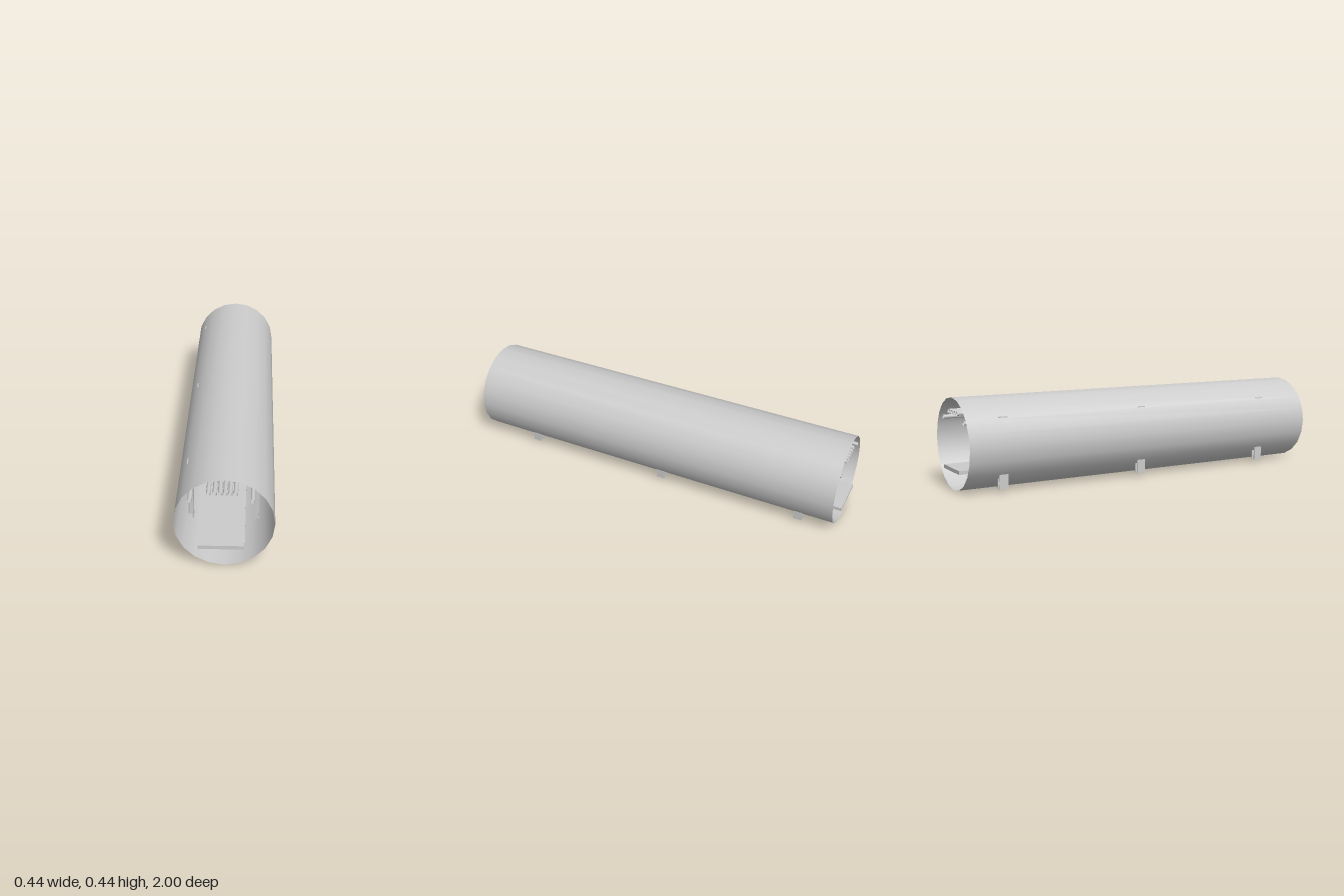
import * as THREE from 'three';

const material = new THREE.MeshStandardMaterial({ color: 0xcccccc, side: THREE.DoubleSide });

function addMesh(parent, name, geometry, x = 0, y = 0, z = 0) {
  const mesh = new THREE.Mesh(geometry, material);
  mesh.name = name;
  mesh.position.set(x, y, z);
  parent.add(mesh);
  return mesh;
}

// Open-ended pipe running along z
function pipeGeometry(radius, length, sides) {
  return new THREE.CylinderGeometry(radius, radius, length, sides, 1, true).rotateX(Math.PI / 2);
}

// Portal outline between an outer and an inner path, extruded and centred in z
function portalGeometry(outer, inner, depth) {
  const points = [...outer, ...[...inner].reverse()].map(([x, y]) => new THREE.Vector2(x, y));
  return new THREE.ExtrudeGeometry(new THREE.Shape(points), { depth, bevelEnabled: false })
    .translate(0, 0, -depth / 2);
}

// Portal path from left foot to right foot: half width, top height, corner chamfer
function portalPath(half, top, chamfer) {
  const foot = 0.018;
  const side = [[half, foot], [half, top - chamfer]];
  if (chamfer > 0) side.push([half - chamfer, top]);
  const mirrored = side.map(([x, y]) => [-x, y]);
  return [...mirrored, ...side.reverse()];
}

// Steel portal frame with an I-shaped section and haunched corners
function createFrame() {
  const frame = new THREE.Group();
  frame.name = 'supportFrame';
  const outer = portalPath(0.165, 0.361, 0);
  const outerInset = portalPath(0.160, 0.356, 0);
  const innerInset = portalPath(0.145, 0.345, 0.043);
  const inner = portalPath(0.140, 0.341, 0.041);
  addMesh(frame, 'outerFlange', portalGeometry(outer, outerInset, 0.045));
  addMesh(frame, 'web', portalGeometry(outerInset, innerInset, 0.008));
  addMesh(frame, 'innerFlange', portalGeometry(innerInset, inner, 0.045));
  return frame;
}

export function createModel() {
  const model = new THREE.Group();
  model.name = 'tunnelSection';

  // Tunnel lining
  addMesh(model, 'tunnelLining', pipeGeometry(0.222, 1.97, 20), 0, 0.222, 0);

  // Walkway slab, slightly longer than the lining
  addMesh(model, 'walkway', new THREE.BoxGeometry(0.205, 0.018, 2), -0.012, 0.104, 0);

  // Three portal frames along the tunnel
  for (const z of [0.703, -0.05, -0.803]) {
    const frame = createFrame();
    frame.position.set(-0.011, 0, z);
    model.add(frame);
  }

  // Row of pipes lying on the frames
  const pipe = pipeGeometry(0.01, 1.97, 10);
  for (const x of [-0.066, -0.039, -0.016, 0.006, 0.028, 0.051]) {
    addMesh(model, 'roofPipe', pipe, x, 0.374, 0);
  }

  // Pipes passing through the frame haunches
  for (const x of [-0.147, 0.124]) addMesh(model, 'cornerPipe', pipe, x, 0.338, 0);

  return model;
}
